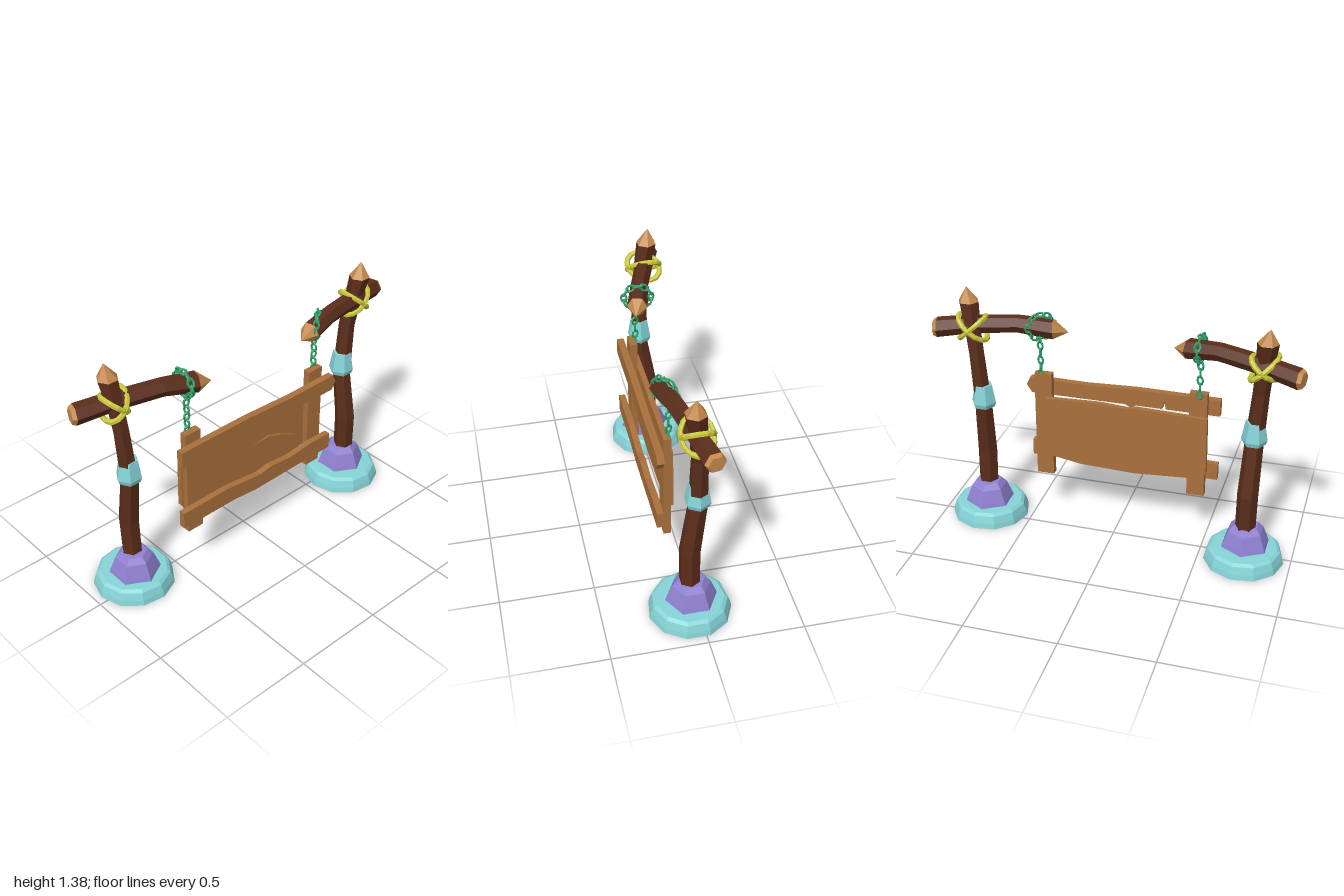
import * as THREE from 'three';

const mat = (color) => new THREE.MeshStandardMaterial({ color, flatShading: true, side: THREE.DoubleSide });
const bark = mat(0x5a2d1a), cutWood = mat(0xc48a4c), plank = mat(0xa9703c), stone = mat(0x86d3d6),
  foot = mat(0x9080d0), rope = mat(0xc8c83c), metal = mat(0x2c9e66);
const V = (x, y, z) => new THREE.Vector3(x, y, z);
const UP = V(0, 1, 0);

function add(parent, name, geometry, material) {
  const mesh = new THREE.Mesh(geometry, material);
  mesh.name = name;
  parent.add(mesh);
  return mesh;
}

// Six-sided log through rings [x, y, z, radius]; u x v points along the log
function loft(rings, u, v, sides = 6) {
  const pos = [];
  const push = (...pts) => pts.forEach((p) => pos.push(p.x, p.y, p.z));
  const centre = rings.map(([x, y, z]) => V(x, y, z));
  const loops = rings.map((r, k) => Array.from({ length: sides }, (_, i) => {
    const a = (i / sides) * Math.PI * 2;
    return centre[k].clone().addScaledVector(u, r[3] * Math.cos(a)).addScaledVector(v, r[3] * Math.sin(a));
  }));
  const last = rings.length - 1;
  for (let i = 0; i < sides; i++) {
    const j = (i + 1) % sides;
    for (let k = 0; k < last; k++) {
      const a = loops[k], b = loops[k + 1];
      push(a[i], a[j], b[j], a[i], b[j], b[i]);
    }
    push(centre[0], loops[0][j], loops[0][i], centre[last], loops[last][i], loops[last][j]);
  }
  const g = new THREE.BufferGeometry();
  g.setAttribute('position', new THREE.Float32BufferAttribute(pos, 3));
  g.computeVertexNormals();
  return g;
}

// Chain link with its long side along y
const linkGeometry = new THREE.TorusGeometry(0.0155, 0.006, 5, 8).scale(1, 1.45, 1);

function makeChain(x, y, z, hangX, yaw) {
  const chain = new THREE.Group();
  chain.name = 'chain';
  const loop = new THREE.Group();
  loop.name = 'chainLoop';
  loop.position.set(x, y, z);
  loop.rotation.y = yaw;
  const count = 12;
  for (let i = 0; i < count; i++) {
    const a = (i / count) * Math.PI * 2;
    const link = add(loop, 'loopLink', linkGeometry, metal);
    link.position.set(0.073 * Math.cos(a), 0.066 * Math.sin(a), 0);
    link.rotation.set(0, i % 2 ? 1.25 : -0.3, a, 'ZYX');
  }
  chain.add(loop);
  for (let i = 0; i < 6; i++) {
    const link = add(chain, 'hangingLink', linkGeometry, metal);
    link.position.set(hangX, 1.105 - i * 0.042, z);
    link.rotation.y = i % 2 ? 1.4 : 0.2;
  }
  return chain;
}

function makeSupport({ name, base, footAt, post, beam, band, knot, chain }) {
  const g = new THREE.Group();
  g.name = name;

  // Hollow round base and its faceted foot
  const rim = [[0.218, 0], [0.212, 0.03], [0.198, 0.07], [0.18, 0.083], [0.09, 0.088]];
  const toProfile = (list) => list.map(([r, y]) => new THREE.Vector2(r, y));
  add(g, 'base', new THREE.LatheGeometry(toProfile(rim), 11), stone).position.set(base[0], 0, base[1]);
  const footProfile = toProfile([[0.14, 0.075], [0.128, 0.11], [0.1, 0.18], [0.072, 0.21], [0.02, 0.212]]);
  const footMesh = add(g, 'foot', new THREE.LatheGeometry(footProfile, 6), foot);
  footMesh.position.set(footAt[0], 0, footAt[1]);
  footMesh.rotation.y = Math.PI / 6;

  // Crooked post with a sharpened top
  add(g, 'post', loft(post, V(0, 0, 1), V(1, 0, 0)), bark);
  const top = post[post.length - 1];
  const tip = [top[0] + (top[0] > 0 ? -0.002 : -0.01), 1.375, top[2] * 1.012, 0.001];
  add(g, 'postTip', loft([top, tip], V(0, 0, 1), V(1, 0, 0)), cutWood);

  // Arched beam: cut outer end, log, pointed inner end
  const ends = [beam[0], beam[beam.length - 1]].map((b) => V(b[0], 0, b[2]));
  const dir = ends[1].clone().sub(ends[0]).normalize();
  const side = UP.clone().cross(dir);
  const n = beam.length;
  add(g, 'beam', loft(beam.slice(1, n - 1), side, UP), bark);
  add(g, 'beamEnd', loft(beam.slice(0, 2), side, UP), cutWood);
  add(g, 'beamTip', loft(beam.slice(n - 2), side, UP), cutWood);

  // Flared band around the post
  const [bx, bz] = band;
  add(g, 'band', loft([[bx, 0.7, bz, 0.06], [bx, 0.725, bz, 0.069], [bx, 0.83, bz, 0.05]],
    V(0, 0, 1), V(1, 0, 0)), stone).name = 'band';

  // Two crossed rope loops tying beam to post
  for (const s of [-1, 1]) {
    const ring = new THREE.TorusGeometry(0.09, 0.0145, 6, 14).rotateX(Math.PI / 2).scale(0.88, 1, 1.08);
    const loop = add(g, 'ropeLoop', ring, rope);
    loop.position.set(...knot);
    loop.rotation.set(s * 0.72, Math.atan2(dir.x, dir.z) * 0.3, 0);
  }
  g.add(makeChain(...chain, Math.atan2(-dir.x, -dir.z) * 0.3));
  return g;
}

// Board cut from an outline of [z, y] points, from x0 to x1
function cutBoard(outline, x0, x1, hole) {
  const toVec = ([z, y]) => new THREE.Vector2(-z, y);
  const shape = new THREE.Shape(outline.map(toVec));
  if (hole) shape.holes.push(new THREE.Path(hole.map(toVec)));
  return new THREE.ExtrudeGeometry(shape, { depth: x1 - x0, bevelEnabled: false })
    .rotateY(Math.PI / 2).translate(x0, 0, 0);
}

function makeSign() {
  const sign = new THREE.Group();
  sign.name = 'sign';
  // Uprights
  for (const z of [0.44, -0.418]) {
    add(sign, 'upright', new THREE.BoxGeometry(0.04, 0.62, 0.096), plank).position.set(0.097, 0.59, z);
  }
  // Panel: thin backing and a cracked face
  const panel = [[0.5, 0.44], [0.47, 0.4], [0.1, 0.375], [-0.2, 0.385], [-0.41, 0.42],
    [-0.4, 0.765], [-0.1, 0.775], [0.06, 0.765], [0.1, 0.775], [0.495, 0.765]];
  add(sign, 'panelBack', cutBoard(panel, 0.053, 0.065), plank);
  const crack = [[0.01, 0.58], [-0.11, 0.587], [-0.22, 0.548], [-0.36, 0.48], [-0.2, 0.575], [-0.11, 0.6]];
  add(sign, 'panelFace', cutBoard(panel, 0.065, 0.083, crack), plank);
  // Rails with chipped edges
  const topRail = [[0.55, 0.757], [0.255, 0.757], [0.245, 0.805], [0.235, 0.757], [0.09, 0.757], [0.06, 0.74],
    [0.03, 0.757], [-0.5, 0.755], [-0.53, 0.8], [-0.51, 0.845], [-0.2, 0.84], [0.1, 0.852], [0.55, 0.848]];
  const lowRail = [[0.55, 0.365], [0.2, 0.368], [0.05, 0.355], [-0.25, 0.362], [-0.505, 0.365], [-0.505, 0.458],
    [-0.36, 0.46], [-0.2, 0.442], [-0.06, 0.455], [0.02, 0.44], [0.25, 0.465], [0.55, 0.46]];
  add(sign, 'topRail', cutBoard(topRail, 0.125, 0.163), plank);
  add(sign, 'lowRail', cutBoard(lowRail, 0.125, 0.16), plank);
  return sign;
}

export function createModel() {
  const model = new THREE.Group();
  model.name = 'hangingSign';
  model.add(makeSupport({
    name: 'frontSupport', base: [-0.04, 0.745], footAt: [-0.025, 0.747],
    post: [[-0.04, 0.17, 0.745, 0.055], [-0.048, 0.41, 0.748, 0.056], [-0.002, 0.7, 0.757, 0.05],
      [-0.012, 1.0, 0.778, 0.044], [-0.03, 1.15, 0.79, 0.046], [-0.06, 1.295, 0.802, 0.056]],
    beam: [[-0.108, 1.145, 0.995, 0.044], [-0.103, 1.146, 0.975, 0.055], [-0.042, 1.168, 0.78, 0.05],
      [0.03, 1.178, 0.55, 0.048], [0.076, 1.155, 0.375, 0.055], [0.098, 1.14, 0.3, 0.001]],
    band: [-0.004, 0.757], knot: [-0.04, 1.155, 0.79], chain: [0.062, 1.168, 0.445, 0.078],
  }));
  model.add(makeSupport({
    name: 'backSupport', base: [0.042, -0.745], footAt: [0.035, -0.748],
    post: [[0.045, 0.17, -0.752, 0.055], [0.047, 0.41, -0.75, 0.056], [0.008, 0.7, -0.742, 0.05],
      [0.008, 1.0, -0.764, 0.044], [0.022, 1.15, -0.785, 0.046], [0.042, 1.295, -0.806, 0.056]],
    beam: [[-0.012, 1.145, -0.995, 0.044], [-0.008, 1.146, -0.975, 0.055], [0.038, 1.168, -0.78, 0.05],
      [0.082, 1.178, -0.55, 0.048], [0.115, 1.155, -0.365, 0.055], [0.13, 1.14, -0.285, 0.001]],
    band: [0.008, -0.738], knot: [0.028, 1.155, -0.785], chain: [0.102, 1.168, -0.43, 0.085],
  }));
  model.add(makeSign());
  return model;
}
